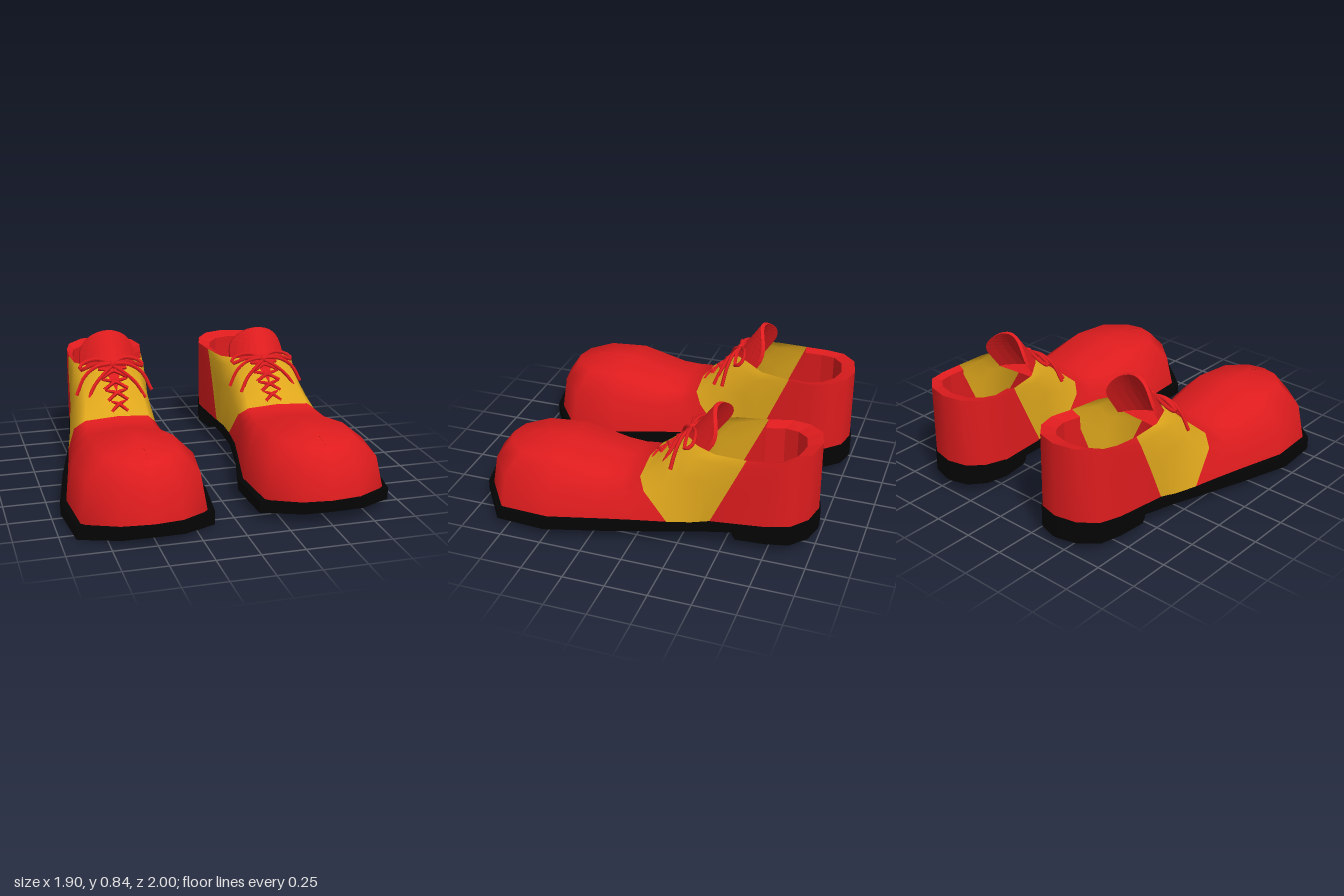
import * as THREE from 'three';
import { mergeVertices } from 'three/addons/utils/BufferGeometryUtils.js';

const mat = (name, color) => {
  const m = new THREE.MeshStandardMaterial({ color, side: THREE.DoubleSide });
  m.name = name;
  return m;
};

// Stations from toe tip to heel: bottom z, inner x, outer x, bottom y,
// then top z, inner x, outer x, top y, and squareness of the curve between
const STATIONS = [
  [0.965, 0.51, 0.51, 0.125, 0.73, 0.51, 0.51, 0.43, 0.8],
  [0.935, 0.34, 0.69, 0.12, 0.70, 0.51, 0.51, 0.435, 0.8],
  [0.79, 0.165, 0.885, 0.10, 0.62, 0.51, 0.51, 0.443, 0.8],
  [0.49, 0.13, 0.915, 0.115, 0.48, 0.51, 0.51, 0.45, 0.78],
  [0.20, 0.19, 0.86, 0.135, 0.20, 0.50, 0.50, 0.387, 0.65],
  [-0.02, 0.235, 0.82, 0.147, 0.10, 0.50, 0.50, 0.385, 0.55],
  [-0.20, 0.25, 0.79, 0.158, 0.00, 0.50, 0.50, 0.395, 0.48], // front seam
  [-0.27, 0.25, 0.775, 0.162, -0.12, 0.49, 0.49, 0.50, 0.58],
  [-0.33, 0.25, 0.76, 0.165, -0.24, 0.44, 0.54, 0.60, 0.68],
  [-0.36, 0.245, 0.75, 0.167, -0.33, 0.35, 0.65, 0.615, 0.68],
  [-0.39, 0.24, 0.735, 0.169, -0.45, 0.265, 0.695, 0.605, 0.8],
  [-0.43, 0.235, 0.72, 0.171, -0.63, 0.23, 0.70, 0.605, 1], // back seam
  [-0.75, 0.20, 0.695, 0.185, -0.77, 0.205, 0.69, 0.612, 1],
  [-0.88, 0.235, 0.66, 0.19, -0.88, 0.235, 0.66, 0.62, 1],
  [-0.965, 0.31, 0.565, 0.195, -0.965, 0.31, 0.565, 0.628, 1],
  [-0.995, 0.43, 0.43, 0.195, -0.995, 0.43, 0.43, 0.63, 1],
];
const FRONT_SEAM = 6, BACK_SEAM = 11, ROWS = 3;

// Points up the wall at one station; side 0 is the inner half, 1 the outer
function wall(i, side) {
  const s = STATIONS[i], bx = s[1 + side], tx = s[5 + side];
  return Array.from({ length: ROWS + 1 }, (_, r) => {
    const a = (r / ROWS) * Math.PI / 2;
    const h = r === ROWS ? 1 : 1 - Math.cos(a) ** s[8], v = Math.sin(a) ** s[8];
    return [bx + (tx - bx) * h, s[3] + (s[7] - s[3]) * v, s[0] + (s[4] - s[0]) * (i < 4 ? h : v)];
  });
}

// Padded heel collar: rim turned inward and lining below it.
// The station before the back seam lies flush and closes the padding's front end
function padding(i, side) {
  const s = STATIONS[Math.max(i, BACK_SEAM)], x = s[5 + side], z = s[4];
  const inset = i < BACK_SEAM ? 0 : 0.2;
  const ix = x + (0.54 - x) * inset, iz = i > BACK_SEAM ? z + (-0.64 - z) * 0.24 : z;
  return [[x, s[7], z], [ix, s[7] - inset * 0.12, iz], [ix, 0.19, iz]];
}

// Both halves as quads between stations; groups 0 = main, 1 = panel colour
function skin(points, first) {
  const pos = [], geo = new THREE.BufferGeometry();
  for (let i = first; i < STATIONS.length - 1; i++) {
    const start = pos.length / 3;
    for (const side of [0, 1]) {
      const p = points(i, side), q = points(i + 1, side);
      for (let r = 0; r < p.length - 1; r++) {
        const [a, b, c, d] = [p[r], q[r], q[r + 1], p[r + 1]];
        pos.push(...(side ? [a, b, c, a, c, d] : [a, c, b, a, d, c]).flat());
      }
    }
    geo.addGroup(start, pos.length / 3 - start, i >= FRONT_SEAM && i < BACK_SEAM ? 1 : 0);
  }
  geo.setAttribute('position', new THREE.Float32BufferAttribute(pos, 3));
  return geo;
}

// Closed loops joined in order, with fan caps at both ends
function loft(loops) {
  const pos = [], n = loops[0].length;
  for (let i = 0; i < loops.length - 1; i++) {
    for (let j = 0; j < n; j++) {
      const k = (j + 1) % n;
      const [a, b, c, d] = [loops[i][j], loops[i][k], loops[i + 1][k], loops[i + 1][j]];
      pos.push(...[a, b, c, a, c, d].flat());
    }
  }
  const A = loops[0], B = loops[loops.length - 1];
  for (let j = 1; j < n - 1; j++) pos.push(...[A[0], A[j + 1], A[j], B[0], B[j], B[j + 1]].flat());
  const geo = new THREE.BufferGeometry();
  geo.setAttribute('position', new THREE.Float32BufferAttribute(pos, 3));
  geo.computeVertexNormals();
  return geo;
}

// Sections: z, inner x, outer x, bottom y, top y, and rise of the bottom's middle
const slab = (sections) => loft(sections.map(([z, a, b, y0, y1, rise = 0]) =>
  [[a, y0, z], [a, y1, z], [b, y1, z], [b, y0, z], [(a + b) / 2, y0 + rise, z]]));

const smooth = (geo) => {
  const g = mergeVertices(geo, 1e-4);
  g.computeVertexNormals();
  return g;
};

function tongueGeometry() {
  const loops = [], N = 10, V = 12;
  for (let v = 0; v <= V; v++) {
    const y = 0.5 + 0.297 * Math.sin((v / V) * Math.PI / 2);
    const k = Math.max(0, (y - 0.62) / 0.177);
    const w = 0.178 * Math.max(0.03, Math.sqrt(Math.max(0, 1 - k * k)));
    const front = [], back = [];
    for (let u = 0; u <= N; u++) {
      const x = (u / N * 2 - 1) * w;
      const z = -0.165 - 0.22 * (y - 0.5) / 0.3 - 4.5 * x * x;
      front.push([0.49 + x, y, z]);
      back.unshift([0.49 + x, y - 0.004, z - 0.022]);
    }
    loops.push([...front, ...back]);
  }
  return loft(loops);
}

function lacePaths() {
  const paths = [];
  for (const s of [-1, 1]) {
    // Criss-cross rungs climbing the throat
    for (let k = 0; k < 4; k++) {
      const z = -0.03 - k * 0.055, y = 0.42 + k * 0.05, w = 0.05 + k * 0.012;
      paths.push([[-s * w, y - 0.01, z], [0, y + 0.026, z - 0.026], [s * w, y + 0.032, z - 0.06]]);
    }
    // Bow loop and loose ends
    paths.push([[0, 0.63, -0.255], [s * 0.09, 0.65, -0.30], [s * 0.18, 0.625, -0.31],
      [s * 0.2, 0.60, -0.275], [s * 0.1, 0.635, -0.255], [0, 0.63, -0.25]]);
    paths.push([[0, 0.63, -0.25], [s * 0.1, 0.625, -0.23], [s * 0.18, 0.575, -0.215], [s * 0.235, 0.475, -0.2]]);
    paths.push([[0, 0.62, -0.245], [s * 0.06, 0.59, -0.2], [s * 0.13, 0.53, -0.165], [s * 0.18, 0.45, -0.13]]);
  }
  return paths.map((p) => new THREE.CatmullRomCurve3(p.map(([x, y, z]) => new THREE.Vector3(0.49 + x, y, z))));
}

// The other shoe: mirrored, with a slightly taller toe
function mirrored(geo) {
  const g = geo.index ? geo.clone() : geo.clone().setIndex([...Array(geo.attributes.position.count).keys()]);
  const p = g.attributes.position, ix = g.index;
  for (let i = 0; i < p.count; i++) {
    const f = Math.min(1, (p.getZ(i) + 1) / 1.8);
    p.setX(i, -p.getX(i));
    p.setY(i, p.getY(i) * (1.06 + 0.11 * f) - 0.022 - 0.025 * f);
  }
  for (let i = 0; i < ix.count; i += 3) {
    const b = ix.getX(i + 1);
    ix.setX(i + 1, ix.getX(i + 2));
    ix.setX(i + 2, b);
  }
  g.computeVertexNormals();
  return g;
}

export function createModel() {
  const red = mat('red leather', 0xdf1c1e), yellow = mat('yellow leather', 0xdfa71c), black = mat('black rubber', 0x040404);
  const left = new THREE.Group(), right = new THREE.Group(), model = new THREE.Group();
  const add = (name, geo, material) => {
    for (const [group, g] of [[left, geo], [right, mirrored(geo)]]) {
      const mesh = new THREE.Mesh(g, material);
      mesh.name = name;
      group.add(mesh);
    }
  };

  add('upper', smooth(skin(wall, 0)), [red, yellow]);
  const collar = skin(padding, BACK_SEAM - 1);
  collar.clearGroups();
  collar.computeVertexNormals();
  add('heelCollar', collar, red);
  add('tongue', smooth(tongueGeometry()), red);

  const heelOutline = [[-0.75, 0.20, 0.697], [-0.88, 0.23, 0.667], [-0.968, 0.305, 0.57], [-1, 0.41, 0.45]];
  add('sole', slab([
    [0.995, 0.49, 0.54, 0.082, 0.14], [0.968, 0.34, 0.69, 0.072, 0.135, 0.01], [0.81, 0.13, 0.91, 0.04, 0.11, 0.042],
    [0.5, 0.10, 0.95, 0.058, 0.125, 0.028], [0.15, 0.19, 0.88, 0.08, 0.145, 0.01], [-0.15, 0.243, 0.805, 0.095, 0.16],
    [-0.35, 0.24, 0.757, 0.11, 0.17], [-0.57, 0.225, 0.71, 0.12, 0.18],
    ...heelOutline.map(([z, a, b]) => [z, a, b, 0.12, 0.18 - (z + 0.57) * 0.05]),
  ]), black);
  add('heel', slab([[-0.56, 0.225, 0.71, 0.1, 0.14], [-0.58, 0.225, 0.71, 0.073, 0.14],
    ...heelOutline.map(([z, a, b]) => [z, a, b, 0.073, 0.14])]), black);

  lacePaths().forEach((path) => add('lace', new THREE.TubeGeometry(path, 16, 0.011, 6), red));
  add('laceKnot', new THREE.SphereGeometry(0.022, 10, 8).translate(0.49, 0.627, -0.25), red);

  left.name = 'leftShoe';
  right.name = 'rightShoe';
  model.name = 'pairOfShoes';
  model.add(left, right);
  return model;
}
